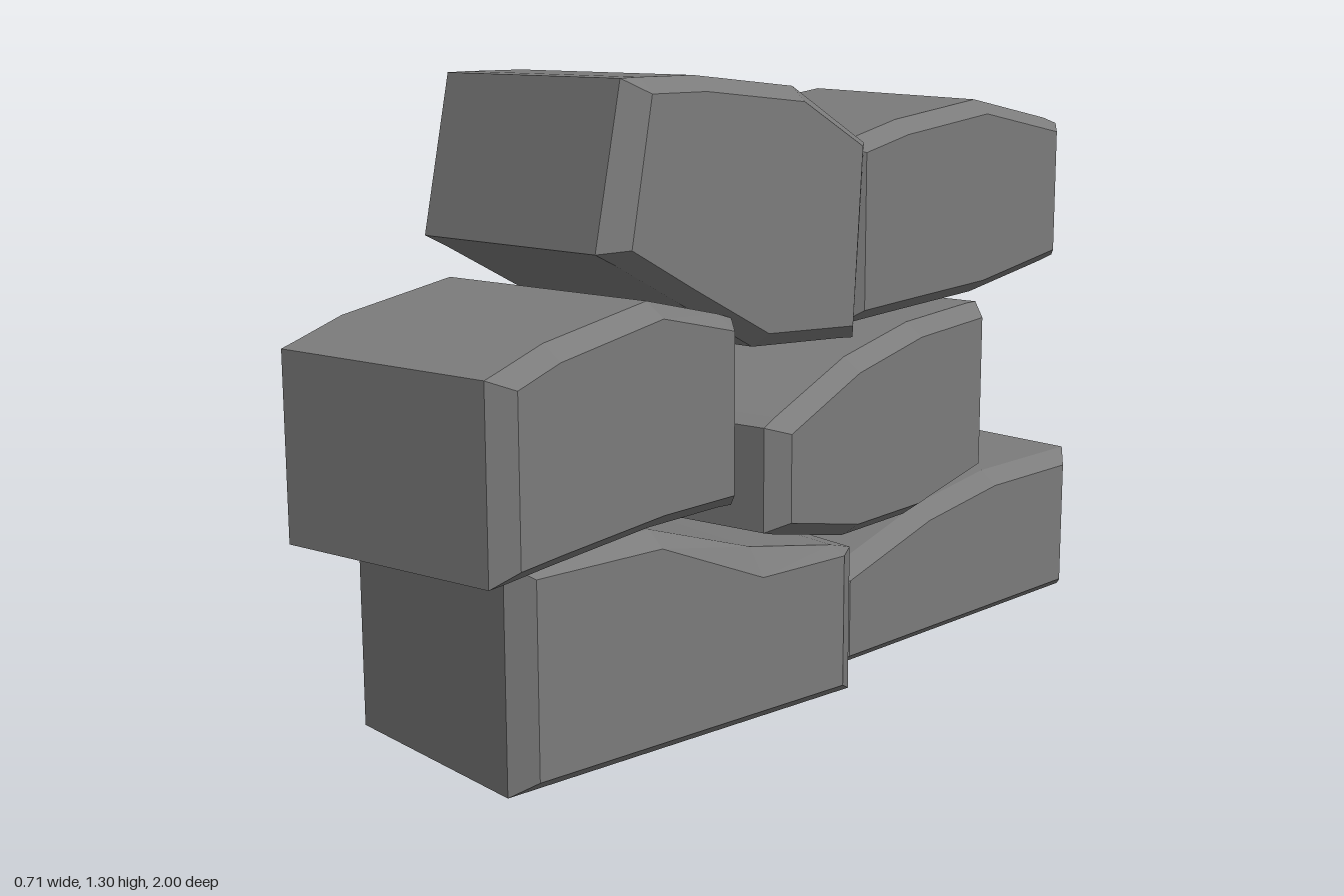
import * as THREE from 'three';

const HALF_WIDTH = 0.285;
const CHAMFER = 0.04;

const stone = new THREE.MeshStandardMaterial({ color: 0x7b7b7b, flatShading: true });
stone.name = 'greyStone';

// Cross-section loop, counter-clockwise seen from the front.
// A station is [zTop, zBottom, top, bottom, upper chamfer, lower chamfer].
function section([zt, zb, t, b, ct = 0.03, cb = 0.03], isEnd) {
  const i = HALF_WIDTH - CHAMFER;
  const w = isEnd ? i : HALF_WIDTH;
  const ts = isEnd ? t : t - ct;
  const bs = isEnd ? b : b + cb;
  const zAt = (y) => zb + ((zt - zb) * (y - b)) / (t - b);
  return [[w, bs], [w, ts], [i, t], [-i, t], [-w, ts], [-w, bs], [-i, b], [i, b]]
    .map(([x, y]) => new THREE.Vector3(x, y, zAt(y)));
}

// Skins a long block through its stations, listed from front to back.
function blockGeometry(stations) {
  const loops = stations.map((s, k) => section(s, k === 0 || k === stations.length - 1));
  const pos = [];
  const tri = (a, b, c) => {
    const area = b.clone().sub(a).cross(c.clone().sub(a)).length();
    if (area > 1e-7) [a, b, c].forEach((p) => pos.push(p.x, p.y, p.z));
  };
  for (let s = 0; s < loops.length - 1; s++) {
    const f = loops[s], r = loops[s + 1];
    for (let k = 0; k < 8; k++) {
      const n = (k + 1) % 8;
      tri(f[k], r[k], r[n]);
      tri(f[k], r[n], f[n]);
    }
  }
  const front = loops[0], back = loops[loops.length - 1];
  for (let k = 1; k < 7; k++) {
    tri(front[0], front[k], front[k + 1]);
    tri(back[0], back[k + 1], back[k]);
  }
  const g = new THREE.BufferGeometry();
  g.setAttribute('position', new THREE.Float32BufferAttribute(pos, 3));
  g.computeVertexNormals();
  return g;
}

// Upright stations share one z for top and bottom.
const upright = (rows) => rows.map(([z, ...rest]) => [z, z, ...rest]);

const blocks = [
  {
    name: 'bottomFrontBlock', x: 0.012, z: 0.355, yaw: -9,
    stations: upright([
      [0.44, 0.45, 0], [0.395, 0.45, 0], [0.10, 0.45, 0],
      [-0.16, 0.365, 0, 0.055], [-0.385, 0.325, 0, 0.015], [-0.44, 0.31, 0],
    ]),
  },
  {
    name: 'bottomBackBlock', x: 0.005, z: -0.545, yaw: -4.5,
    stations: upright([
      [0.44, 0.215, 0], [0.39, 0.23, 0], [0.12, 0.31, 0],
      [-0.12, 0.345, 0], [-0.39, 0.345, 0], [-0.44, 0.345, 0],
    ]),
  },
  {
    name: 'middleFrontBlock', x: 0.008, z: 0.611, yaw: 4.5,
    stations: upright([
      [0.365, 0.82, 0.45], [0.325, 0.83, 0.45], [0.21, 0.86, 0.453],
      [-0.09, 0.893, 0.457], [-0.32, 0.835, 0.445], [-0.365, 0.82, 0.44],
    ]),
  },
  {
    name: 'middleBackBlock', x: 0.012, z: -0.205, yaw: 5,
    stations: upright([
      [0.44, 0.605, 0.39], [0.40, 0.62, 0.378], [0.14, 0.70, 0.315],
      [-0.12, 0.735, 0.302], [-0.40, 0.737, 0.335], [-0.44, 0.735, 0.34],
    ]),
  },
  {
    name: 'topBackBlock', x: -0.024, z: -0.585, yaw: -7.5,
    stations: upright([
      [0.365, 1.13, 0.74], [0.32, 1.14, 0.742], [0.19, 1.17, 0.75],
      [-0.07, 1.20, 0.765], [-0.32, 1.145, 0.81], [-0.365, 1.13, 0.82],
    ]),
  },
  {
    // Tipped block leaning up at the front.
    name: 'topFrontBlock', x: -0.03, z: 0.18, yaw: -3, roll: 1.1,
    stations: [
      [0.30, 0.375, 1.295, 0.975], [0.25, 0.325, 1.295, 0.95], [0.105, 0.155, 1.292, 0.857],
      [-0.185, -0.055, 1.257, 0.742], [-0.365, -0.325, 1.155, 0.722], [-0.415, -0.375, 1.127, 0.717],
    ],
  },
];

export function createModel() {
  const model = new THREE.Group();
  model.name = 'stackedBlocks';
  for (const { name, x, z, yaw, roll = 0, stations } of blocks) {
    const mesh = new THREE.Mesh(blockGeometry(stations), stone);
    mesh.name = name;
    mesh.position.set(x, 0, z);
    mesh.rotation.set(0, THREE.MathUtils.degToRad(yaw), THREE.MathUtils.degToRad(roll));
    model.add(mesh);
  }
  return model;
}
